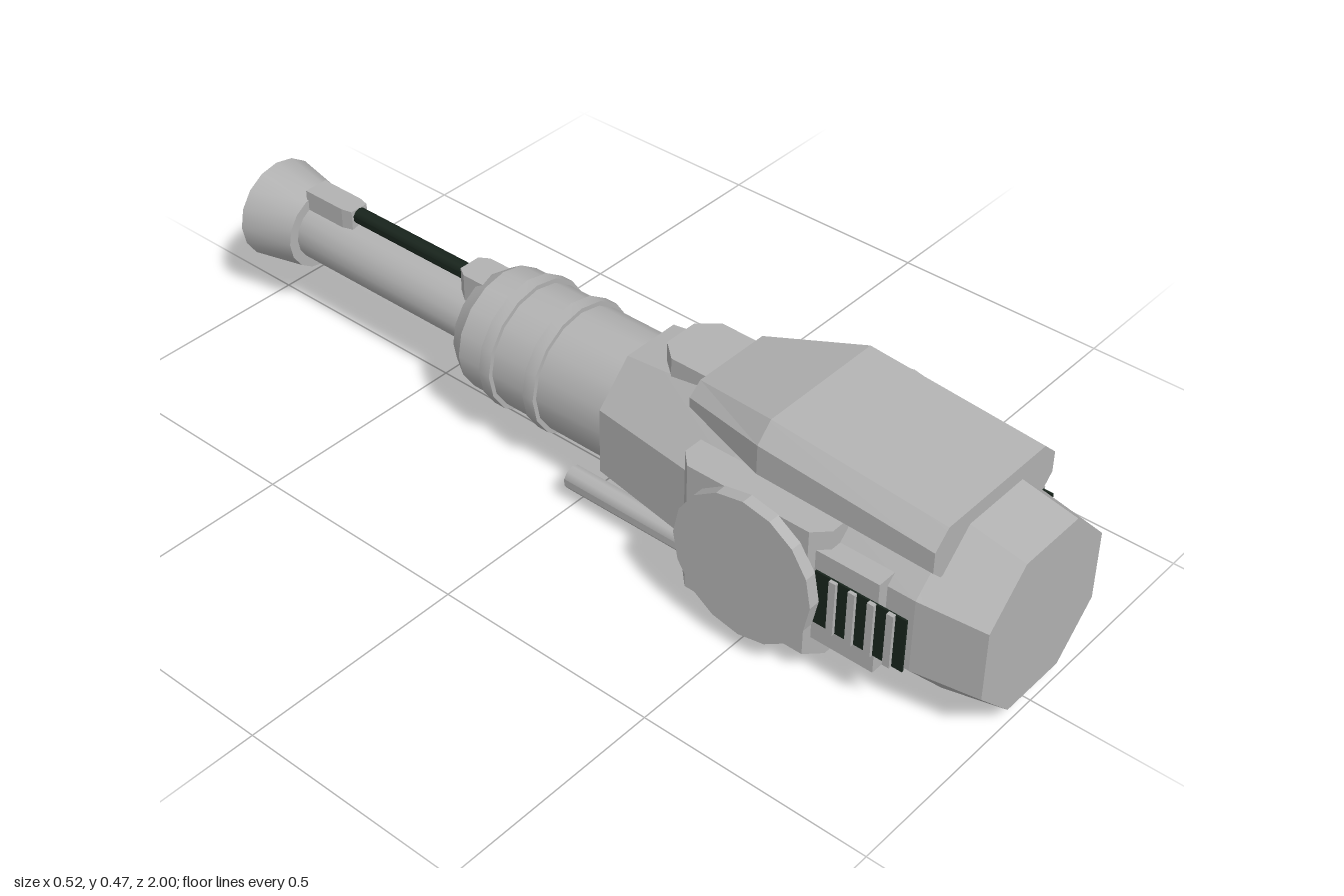
import * as THREE from 'three';
import { toCreasedNormals } from 'three/addons/utils/BufferGeometryUtils.js';

const AXIS_Y = 0.212;

export function createModel() {
  const model = new THREE.Group();
  model.name = 'cannon';
  const metal = new THREE.MeshStandardMaterial({ color: 0xb2b2b2 });
  metal.name = 'light grey metal';
  const dark = new THREE.MeshStandardMaterial({ color: 0x18241c });
  dark.name = 'dark green black';

  function add(name, geometry, material = metal, x = 0, y = 0, z = 0, crease = 0.1) {
    const mesh = new THREE.Mesh(toCreasedNormals(geometry, crease), material);
    mesh.name = name;
    mesh.position.set(x, y, z);
    model.add(mesh);
    return mesh;
  }

  // Skin over cross-sections ordered from +z to -z, corners anticlockwise from the front
  function loft(sections) {
    const pos = [];
    const n = sections[0].pts.length;
    const put = (s, j) => pos.push(s.pts[j % n][0], s.pts[j % n][1], s.z);
    for (let i = 0; i < sections.length - 1; i++) {
      const f = sections[i], b = sections[i + 1];
      for (let j = 0; j < n; j++) {
        put(f, j); put(b, j); put(f, j + 1);
        put(f, j + 1); put(b, j); put(b, j + 1);
      }
    }
    const first = sections[0], last = sections[sections.length - 1];
    for (let j = 1; j < n - 1; j++) {
      put(first, 0); put(first, j); put(first, j + 1);
      put(last, 0); put(last, j + 1); put(last, j);
    }
    const g = new THREE.BufferGeometry();
    g.setAttribute('position', new THREE.Float32BufferAttribute(pos, 3));
    return g;
  }

  // Mirrors a right-hand half outline (bottom to top) into a closed section
  const section = (z, half) => ({ z, pts: [...half, ...half.map(([x, y]) => [-x, y]).reverse()] });

  // Upright prism from a plan outline of [x, z] points
  function prism(plan, y0, y1) {
    const shape = new THREE.Shape(plan.map(([x, z]) => new THREE.Vector2(x, -z)));
    const g = new THREE.ExtrudeGeometry(shape, { depth: y1 - y0, bevelEnabled: false });
    return g.rotateX(-Math.PI / 2).translate(0, y0, 0);
  }

  // Turned part along z from [radius, z] points in rising z
  const turned = (profile, sides = 16) =>
    new THREE.LatheGeometry(profile.map(([r, z]) => new THREE.Vector2(r, z)), sides).rotateX(Math.PI / 2);
  const rod = (r, length, sides) => new THREE.CylinderGeometry(r, r, length, sides).rotateX(Math.PI / 2);

  // Octagonal housing
  const octagon = (z, w, flat, y0, y1, y2, y3) => section(z, [[flat, y0], [w, y1], [w, y2], [flat, y3]]);
  add('housing', loft([
    octagon(1, 0.178, 0.08, 0.035, 0.133, 0.288, 0.385),
    octagon(0.86, 0.2, 0.081, 0, 0.13, 0.296, 0.412),
    octagon(0.41, 0.2, 0.081, 0, 0.13, 0.296, 0.412),
    octagon(0.08, 0.15, 0.068, 0.06, 0.135, 0.285, 0.37),
  ]));

  // Roof armour
  const roof = (z, inner, outer, bottom, chin, shoulder, top) =>
    section(z, [[outer - 0.025, bottom], [outer, chin], [outer, shoulder], [inner, top]]);
  add('roofArmour', loft([
    roof(0.88, 0.148, 0.185, 0.337, 0.362, 0.408, 0.443),
    roof(0.49, 0.148, 0.185, 0.347, 0.372, 0.437, 0.475),
    roof(0.28, 0.092, 0.122, 0.357, 0.38, 0.402, 0.426),
  ]));
  add('roofBlock', prism([[0.075, 0.32], [0.075, 0.195], [0.04, 0.155], [-0.04, 0.155], [-0.075, 0.195], [-0.075, 0.32]], 0.35, 0.424));

  // Barrel sleeve with two bands
  add('sleeve', turned([[0, -0.355], [0.112, -0.355], [0.137, -0.315], [0.137, 0.1], [0, 0.1]]), metal, 0, AXIS_Y, 0, 0.5);
  for (const z of [-0.115, -0.235]) add('sleeveBand', rod(0.147, 0.028, 16), metal, 0, AXIS_Y, z, 0.5);

  // Barrel, flared muzzle and bore
  add('barrel', rod(0.068, 0.55, 16), metal, 0, AXIS_Y, -0.61, 0.5);
  add('muzzle', turned([[0, -1], [0.114, -1], [0.091, -0.87], [0, -0.87]]), metal, 0, AXIS_Y, 0, 0.5);
  add('bore', rod(0.062, 0.006, 6), dark, 0, AXIS_Y, -0.998);

  // Recoil rod and its clamps
  add('recoilRod', rod(0.018, 0.36, 10), dark, 0, 0.302, -0.575, 0.7);
  add('rearClamp', prism([[0.04, -0.33], [0.04, -0.39], [0.026, -0.412], [-0.026, -0.412], [-0.04, -0.39], [-0.04, -0.33]], 0.25, 0.328));
  add('frontClamp', prism([[0.022, -0.74], [0.028, -0.765], [0.028, -0.875], [-0.028, -0.875], [-0.028, -0.765], [-0.022, -0.74]], 0.25, 0.32));

  // Side fittings, mirrored
  for (const s of [1, -1]) {
    const plan = (pts) => pts.map(([x, z]) => [s * x, z]);
    add('pivotMount', prism(plan([[0.16, 0.34], [0.205, 0.34], [0.235, 0.37], [0.235, 0.65], [0.205, 0.68], [0.16, 0.68]]), 0.063, 0.357));
    add('pivotDisc', new THREE.CylinderGeometry(0.16, 0.16, 0.026, 16).rotateZ(Math.PI / 2), metal, s * 0.247, 0.21, 0.52);
    add('ventBlock', new THREE.BoxGeometry(0.05, 0.21, 0.16), metal, s * 0.2, 0.21, 0.72);
    add('ventPanel', new THREE.BoxGeometry(0.004, 0.122, 0.2), dark, s * 0.228, 0.212, 0.765);
    for (let i = 0; i < 4; i++) {
      add('ventSlat', new THREE.BoxGeometry(0.009, 0.122, 0.015), metal, s * 0.233, 0.212, 0.708 + i * 0.042);
    }
    add('lowerTube', rod(0.026, 0.575, 10), metal, s * 0.126, 0.054, 0.272, 0.7);
  }

  return model;
}
